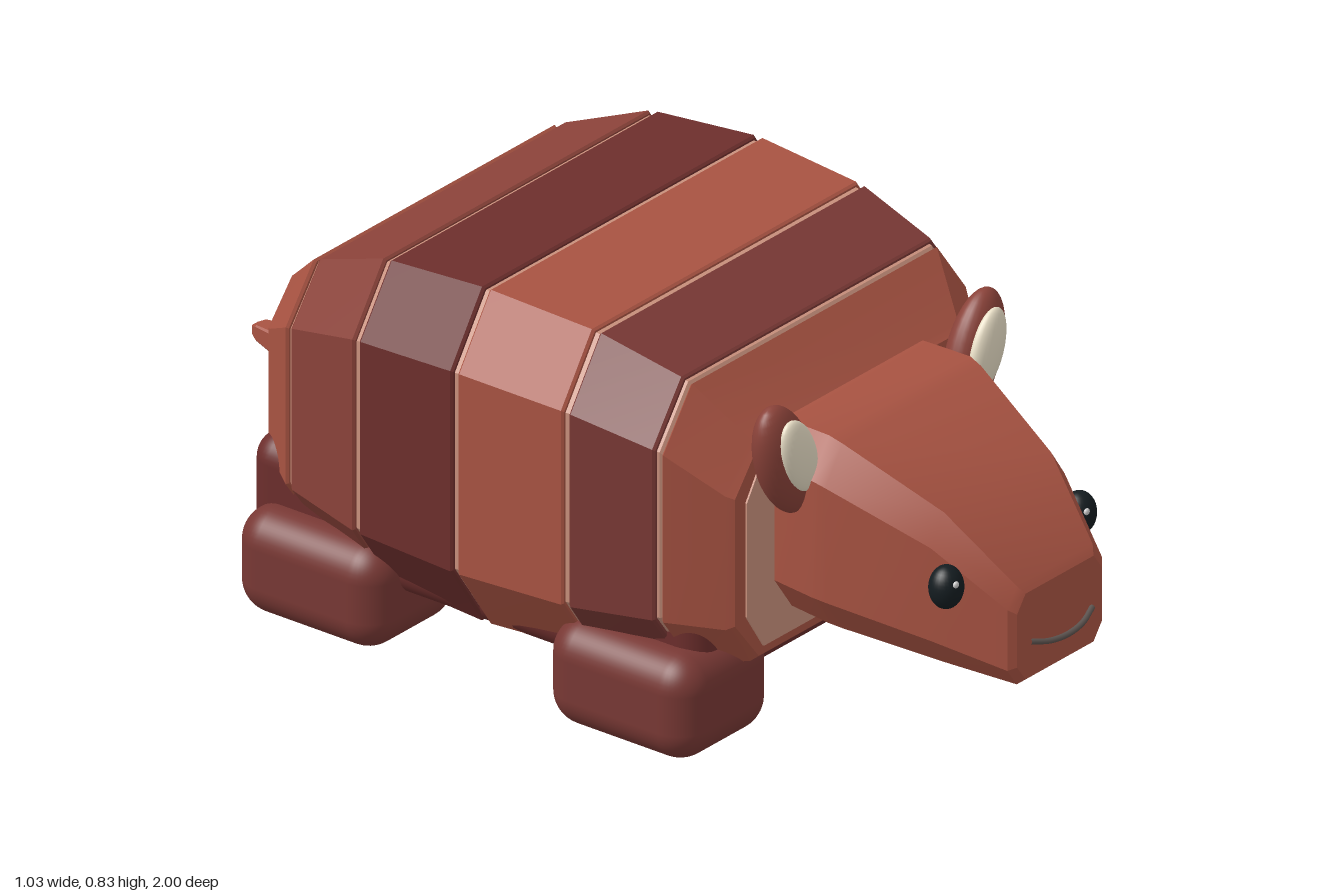
import * as THREE from 'three';
import { toCreasedNormals } from 'three/addons/utils/BufferGeometryUtils.js';
import { RoundedBoxGeometry } from 'three/addons/geometries/RoundedBoxGeometry.js';

const mat = (color) => new THREE.MeshStandardMaterial({ color });
const rust = mat(0xa85342), rustMid = mat(0x8a4239), rustDeep = mat(0x783834), rustDark = mat(0x6c2e2c);
const tan = mat(0xc8907c), cream = mat(0xe6dcc4), black = mat(0x141c20), white = mat(0xffffff), grey = mat(0x5c534f);

function add(parent, name, geometry, material, x = 0, y = 0, z = 0) {
  const mesh = new THREE.Mesh(geometry, material);
  mesh.name = name;
  mesh.position.set(x, y, z);
  parent.add(mesh);
  return mesh;
}

// Corners of a chamfered rectangle, counterclockwise seen from the front
function octagon(hw, y0, y1, fx = 0.19, fy = 0.2) {
  const cx = hw * fx, cy = (y1 - y0) * fy;
  return [[hw - cx, y0], [hw, y0 + cy], [hw, y1 - cy], [hw - cx, y1],
    [cx - hw, y1], [-hw, y1 - cy], [-hw, y0 + cy], [cx - hw, y0]];
}

// Closed loft through sections [z, halfWidth, bottom, top], ordered front to back
function loft(sections, fx, fy, crease = 0.3) {
  const rings = sections.map(([z, hw, y0, y1]) => octagon(hw, y0, y1, fx, fy).map(([x, y]) => [x, y, z]));
  const n = 8, pos = [];
  const tri = (a, b, c) => pos.push(...a, ...b, ...c);
  for (let i = 0; i < rings.length - 1; i++) {
    const f = rings[i], b = rings[i + 1];
    for (let j = 0; j < n; j++) {
      const k = (j + 1) % n;
      tri(f[j], b[j], b[k]);
      tri(f[j], b[k], f[k]);
    }
  }
  const first = rings[0], last = rings[rings.length - 1];
  for (let j = 1; j < n - 1; j++) {
    tri(first[0], first[j], first[j + 1]);
    tri(last[0], last[j + 1], last[j]);
  }
  const g = new THREE.BufferGeometry();
  g.setAttribute('position', new THREE.Float32BufferAttribute(pos, 3));
  return toCreasedNormals(g, crease);
}

function ellipsoid(rx, ry, rz) {
  return new THREE.SphereGeometry(1, 28, 18).scale(rx, ry, rz);
}

// Shell sections at the band seams
const shell = [
  [0.48, 0.385, 0.178, 0.64],
  [0.36, 0.468, 0.165, 0.77],
  [0.16, 0.498, 0.13, 0.82],
  [-0.1, 0.513, 0.12, 0.835],
  [-0.35, 0.502, 0.13, 0.815],
  [-0.55, 0.46, 0.17, 0.74],
  [-0.66, 0.385, 0.22, 0.645],
];

// Section between seams i and i + 1, at z
function sectionAt(i, z) {
  const a = shell[i], b = shell[i + 1], t = (z - a[0]) / (b[0] - a[0]);
  return a.map((v, k) => v + (b[k] - v) * t);
}

const inset = ([z, hw, y0, y1], d, dz = 0) => [z + dz, hw - d, y0 + d, y1 - d];

function createShell() {
  const g = new THREE.Group();
  g.name = 'shell';
  const colors = [rust, rustDeep, rust, rustDark, rustMid, rust];
  const gap = 0.008, lip = 0.006;
  colors.forEach((material, i) => {
    const z0 = shell[i][0] - (i ? gap : 0.012);
    const z1 = shell[i + 1][0] + (i < 5 ? gap : 0.012);
    const a = sectionAt(i, z0), b = sectionAt(i, z1);
    // each band has a small bevelled lip at both ends
    const front = i ? inset(a, 0.004, 0.002) : inset(a, 0.012, 0.014);
    const back = i < 5 ? inset(b, 0.004, -0.002) : inset(b, 0.012, -0.014);
    a[0] -= i ? lip / 2 : 0;
    b[0] += i < 5 ? lip / 2 : 0;
    add(g, 'shellBand' + (i + 1), loft([front, a, b, back]), material);
  });
  // pale core showing in the seams
  const core = shell.map((s) => inset(s, 0.008));
  core[0] = inset(shell[0], 0.03, -0.02);
  core[6] = inset(shell[6], 0.03, 0.02);
  add(g, 'seamCore', loft(core), tan);
  // pale panels on both ends
  add(g, 'frontPanel', loft([[0.486, 0.35, 0.207, 0.612], [0.47, 0.35, 0.207, 0.612]], 0.15, 0.2), tan);
  add(g, 'backPanel', loft([[-0.65, 0.335, 0.25, 0.59], [-0.666, 0.335, 0.25, 0.59]], 0.15, 0.2), tan);
  return g;
}

function createHead() {
  const g = new THREE.Group();
  g.name = 'head';
  add(g, 'skull', loft([
    [0.972, 0.13, 0.212, 0.395],
    [0.96, 0.145, 0.202, 0.412],
    [0.82, 0.205, 0.225, 0.545],
    [0.61, 0.265, 0.25, 0.645],
    [0.58, 0.27, 0.253, 0.655],
    [0.46, 0.265, 0.262, 0.655],
  ], 0.2, 0.19, 0.35), rust);

  for (const s of [-1, 1]) {
    const side = s > 0 ? 'left' : 'right';
    const ear = new THREE.Group();
    ear.name = side + 'Ear';
    ear.position.set(s * 0.29, 0.617, 0.528);
    ear.rotation.z = -s * 0.38;
    add(ear, 'outerEar', ellipsoid(0.068, 0.132, 0.046), rustMid);
    add(ear, 'innerEar', ellipsoid(0.046, 0.087, 0.022), cream, -s * 0.008, 0.015, 0.035);
    g.add(ear);
    add(g, side + 'Eye', ellipsoid(0.036, 0.045, 0.034), black, s * 0.203, 0.413, 0.857);
    add(g, side + 'EyeGlint', ellipsoid(0.007, 0.007, 0.005), white, s * 0.2 - 0.012, 0.43, 0.888);
  }

  // thin smile in front of the muzzle
  const smile = new THREE.CatmullRomCurve3([
    [-0.095, 0.29, 0.976], [-0.05, 0.279, 0.989], [0, 0.275, 0.993], [0.05, 0.279, 0.989], [0.095, 0.29, 0.976],
  ].map((p) => new THREE.Vector3(...p)));
  add(g, 'mouth', new THREE.TubeGeometry(smile, 24, 0.006, 8), grey);
  return g;
}

function createTail() {
  const g = new THREE.Group();
  g.name = 'tail';
  add(g, 'tailCone', loft([
    [-0.62, 0.082, 0.19, 0.337],
    [-0.985, 0.018, 0.288, 0.322],
    [-1.0, 0.01, 0.295, 0.315],
  ], 0.15, 0.1), rust);
  for (const z of [-0.73, -0.83]) {
    add(g, 'tailRidge', new RoundedBoxGeometry(0.05, 0.012, 0.012, 2, 0.004), rustDark, 0, 0.334, z);
  }
  return g;
}

export function createModel() {
  const model = new THREE.Group();
  model.name = 'armadillo';
  model.add(createShell(), createHead(), createTail());

  // belly under the shell, showing below it and at the rear
  add(model, 'belly', new RoundedBoxGeometry(0.86, 0.24, 1.11, 5, 0.055), rustDark, 0, 0.23, -0.125);

  // four stubby feet
  for (const x of [-0.363, 0.363]) {
    for (const [name, z] of [['frontFoot', 0.28], ['backFoot', -0.483]]) {
      add(model, name, new RoundedBoxGeometry(0.284, 0.222, 0.362, 6, 0.07), rustDeep, x, 0.111, z);
    }
  }
  return model;
}
